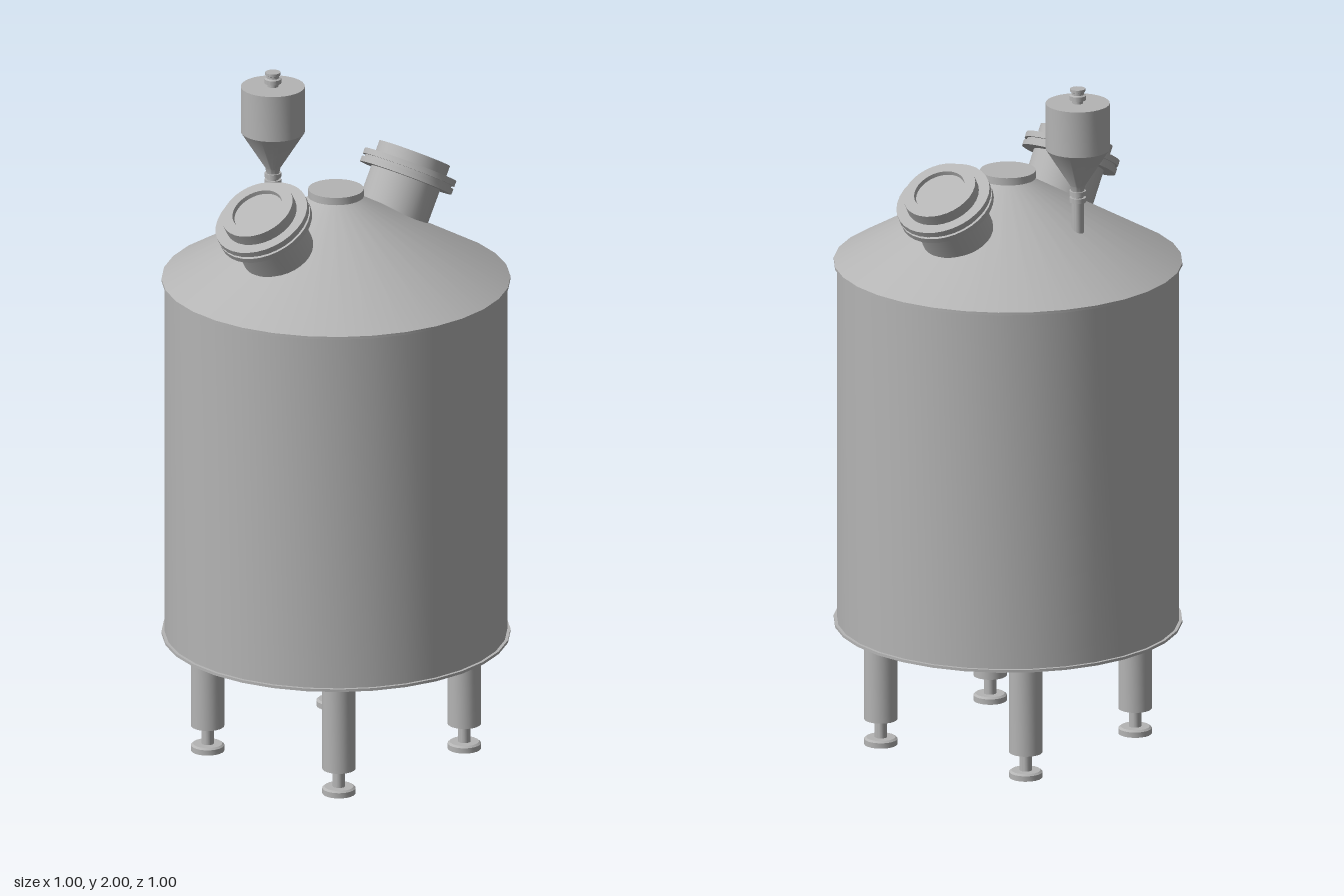
import * as THREE from 'three';
import { toCreasedNormals } from 'three/addons/utils/BufferGeometryUtils.js';

const steel = new THREE.MeshStandardMaterial({ color: 0xb4b4b4 });
steel.name = 'steel';

// Turned part: profile of [radius, height] from bottom to top, sharp at the corners
function turned(name, profile, segments = 32) {
  const points = profile.map(([r, y]) => new THREE.Vector2(r, y));
  const geometry = toCreasedNormals(new THREE.LatheGeometry(points, segments), 0.45);
  const mesh = new THREE.Mesh(geometry, steel);
  mesh.name = name;
  return mesh;
}

// Plain closed disc or cylinder between two heights
function drum(name, r, y0, y1, segments) {
  return turned(name, [[0, y0], [r, y0], [r, y1], [0, y1]], segments);
}

function group(name, ...parts) {
  const g = new THREE.Group();
  g.name = name;
  g.add(...parts);
  return g;
}

// Tilted hatch with neck, clamped flanges and a recessed cover; y = 0 lies on the roof
function makeManway(side) {
  const manway = group(side > 0 ? 'leftManway' : 'rightManway',
    drum('manwayNeck', 0.105, -0.01, 0.105),
    drum('lowerFlange', 0.14, 0.098, 0.114),
    drum('gasket', 0.132, 0.11, 0.124),
    drum('upperFlange', 0.14, 0.122, 0.139),
    turned('hatchCover', [[0, 0.13], [0.108, 0.13], [0.108, 0.173], [0.076, 0.173], [0.074, 0.161], [0, 0.161]])
  );
  manway.position.set(side * 0.24, 1.58, 0);
  manway.rotation.z = -side * Math.PI / 6;
  return manway;
}

function makeLeg(x, z) {
  const leg = group('leg',
    drum('legTube', 0.048, 0.075, 0.36, 24),
    drum('adjusterRod', 0.018, 0.015, 0.08, 16),
    turned('foot', [[0, 0], [0.048, 0], [0.048, 0.016], [0.042, 0.021], [0, 0.021]], 24)
  );
  leg.position.set(x, 0, z);
  return leg;
}

export function createModel() {
  const model = group('tank');

  // Vessel with thin rims and a conical roof
  model.add(
    drum('shell', 0.491, 0.358, 1.434),
    drum('bottomRim', 0.5, 0.355, 0.363),
    turned('roof', [[0, 1.429], [0.5, 1.429], [0.5, 1.437], [0.065, 1.683], [0, 1.683]])
  );

  // Central nozzle with a blind flange
  model.add(group('topNozzle',
    drum('nozzleNeck', 0.065, 1.64, 1.688),
    drum('nozzleFlange', 0.08, 1.686, 1.708)
  ));

  for (const side of [-1, 1]) model.add(makeManway(side));

  // Dosing hopper on its feed pipe at the back
  const hopper = group('hopper',
    drum('feedPipe', 0.018, 1.55, 1.665, 16),
    drum('pipeCoupling', 0.024, 1.66, 1.674, 16),
    drum('couplingWaist', 0.017, 1.67, 1.685, 16),
    drum('upperCoupling', 0.024, 1.681, 1.694, 16),
    turned('hopperBody', [[0, 1.69], [0.018, 1.69], [0.022, 1.71], [0.092, 1.82], [0.092, 1.957], [0, 1.957]]),
    turned('hopperInlet', [[0, 1.955], [0.016, 1.955], [0.016, 1.965], [0.024, 1.967], [0.024, 1.98],
      [0.018, 1.983], [0.018, 1.99], [0.022, 1.992], [0.022, 2], [0, 2]], 16)
  );
  hopper.position.z = -0.25;
  model.add(hopper);

  // Four adjustable legs
  for (const x of [-0.26, 0.26]) for (const z of [-0.26, 0.26]) model.add(makeLeg(x, z));

  return model;
}
